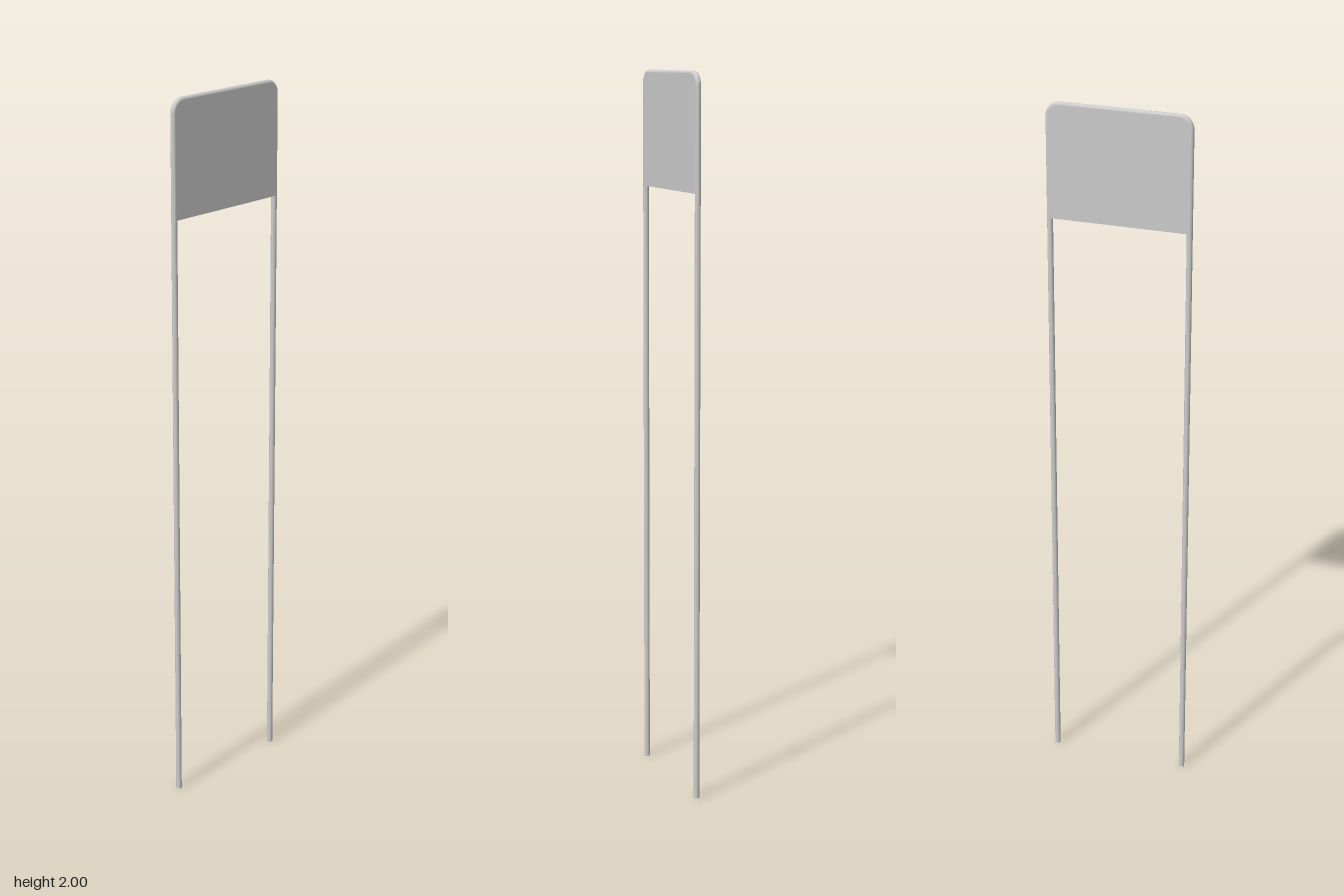
import * as THREE from 'three';

const R = 0.008;        // tube radius
const X = 0.1955;       // tube centre line, half width
const TOP = 2 - R;      // height of the top tube's centre line
const BEND = 0.031;     // corner radius of the centre line
const PANEL_Y = 1.678;  // lower edge of the panel
const SIDES = 24;

export function createModel() {
  const model = new THREE.Group();
  const material = new THREE.MeshStandardMaterial({ color: 0xcccccc });
  const add = (name, geometry, parent) => {
    const mesh = new THREE.Mesh(geometry, material);
    mesh.name = name;
    parent.add(mesh);
    return mesh;
  };

  // Bent tube frame: two legs, two rounded corners and a top rail
  const frame = new THREE.Group();
  frame.name = 'tubeFrame';
  model.add(frame);
  const legHeight = TOP - BEND;
  for (const [side, s] of [['left', 1], ['right', -1]]) {
    const leg = add(side + 'Leg', new THREE.CylinderGeometry(R, R, legHeight, SIDES), frame);
    leg.position.set(s * X, legHeight / 2, 0);
    const corner = add(side + 'Corner', new THREE.TorusGeometry(BEND, R, SIDES, 12, Math.PI / 2), frame);
    corner.position.set(s * (X - BEND), legHeight, 0);
    if (s < 0) corner.rotation.z = Math.PI / 2;
  }
  const rail = add('topRail', new THREE.CylinderGeometry(R, R, 2 * (X - BEND), SIDES, 1, true), frame);
  rail.rotation.z = Math.PI / 2;
  rail.position.y = TOP;

  // Flat panel between the tubes, flush with them front and back
  const shape = new THREE.Shape();
  shape.moveTo(-X, PANEL_Y);
  shape.lineTo(X, PANEL_Y);
  shape.lineTo(X, TOP - BEND);
  shape.absarc(X - BEND, TOP - BEND, BEND, 0, Math.PI / 2, false);
  shape.lineTo(-X + BEND, TOP);
  shape.absarc(-X + BEND, TOP - BEND, BEND, Math.PI / 2, Math.PI, false);
  shape.closePath();
  const panelGeometry = new THREE.ExtrudeGeometry(shape, { depth: 2 * R, bevelEnabled: false, curveSegments: 12 });
  panelGeometry.translate(0, 0, -R);
  // Side walls follow the tube centre line, so only the faces and lower edge show
  add('panel', panelGeometry, model);

  return model;
}
